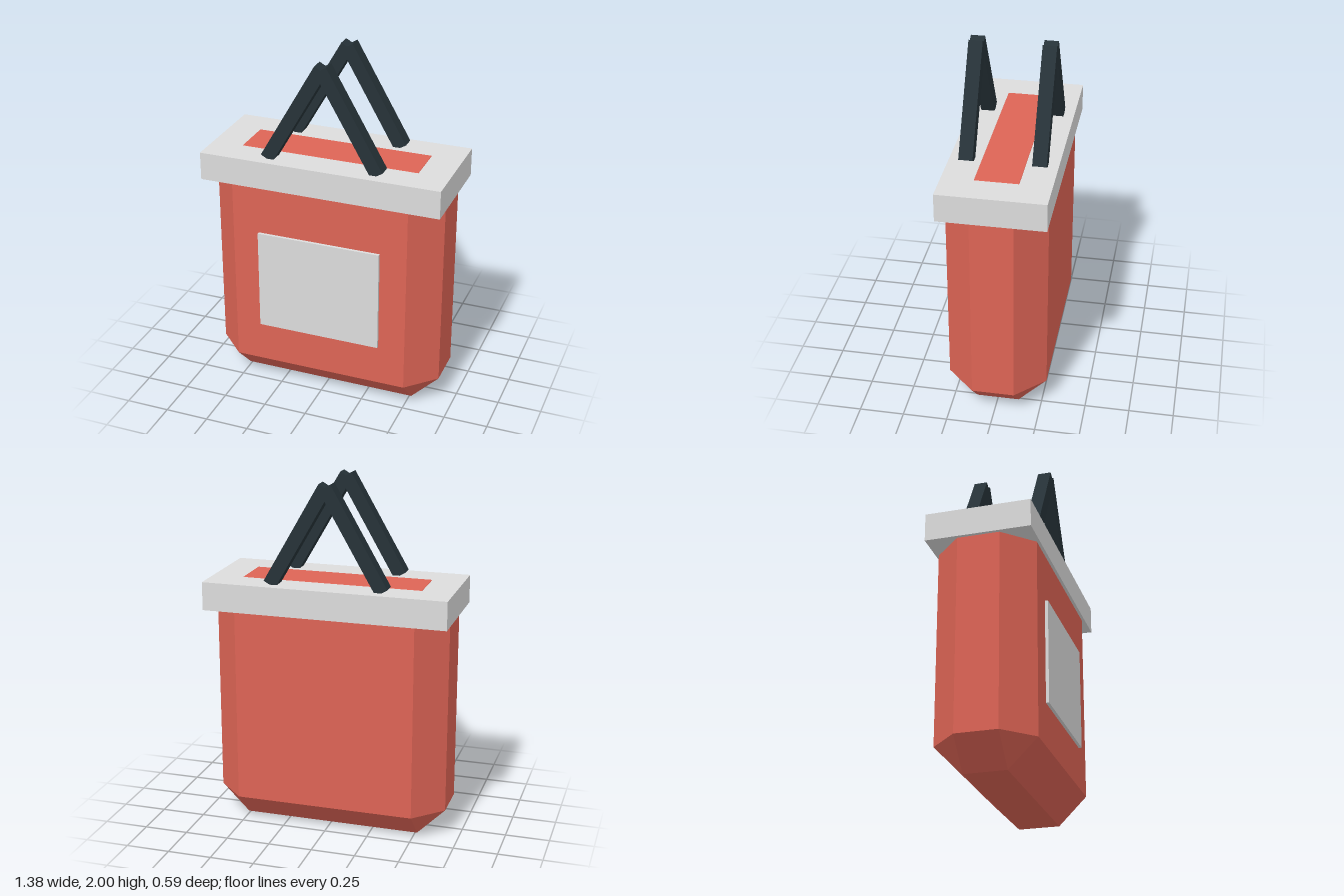
import * as THREE from 'three';
import { ConvexGeometry } from 'three/addons/geometries/ConvexGeometry.js';

const flat = (name, color) => {
  const m = new THREE.MeshStandardMaterial({ color });
  m.name = name;
  m.flatShading = true;
  return m;
};

// Box with every edge and corner cut off by the bevel
function bevelledBox(w, h, d, bevel) {
  const pts = [];
  const x = w / 2, y = h / 2, z = d / 2;
  for (const sx of [-1, 1]) for (const sy of [-1, 1]) for (const sz of [-1, 1]) {
    pts.push(
      new THREE.Vector3(sx * x, sy * (y - bevel), sz * (z - bevel)),
      new THREE.Vector3(sx * (x - bevel), sy * y, sz * (z - bevel)),
      new THREE.Vector3(sx * (x - bevel), sy * (y - bevel), sz * z)
    );
  }
  return new ConvexGeometry(pts);
}

export function createModel() {
  const model = new THREE.Group();
  model.name = 'toteBag';
  const red = flat('red cloth', 0xdd6455);
  const grey = flat('light grey trim', 0xdcdcdc);
  const dark = flat('dark strap', 0x263238);

  const add = (name, geometry, material, x, y, z, parent = model) => {
    const mesh = new THREE.Mesh(geometry, material);
    mesh.name = name;
    mesh.position.set(x, y, z);
    parent.add(mesh);
    return mesh;
  };

  // Body, its top panel just showing through the rim
  add('body', bevelledBox(1.342, 1.432, 0.556, 0.16), red, 0, 0.716, 0);

  // Rim and front pocket
  add('rim', new THREE.BoxGeometry(1.382, 0.16, 0.59), grey, 0, 1.35, 0);
  add('frontPocket', new THREE.BoxGeometry(0.715, 0.59, 0.03), grey, 0, 0.695, 0.28);

  // Two handles, each a pair of straps leaning together
  const strap = new THREE.BoxGeometry(0.075, 0.635, 0.077);
  for (const [name, z] of [['frontHandle', 0.198], ['backHandle', -0.198]]) {
    const handle = new THREE.Group();
    handle.name = name;
    for (const side of [-1, 1]) {
      const bar = add(side > 0 ? 'leftStrap' : 'rightStrap', strap, dark, side * 0.159, 1.706, z, handle);
      bar.rotation.z = side * Math.PI / 6;
    }
    model.add(handle);
  }
  return model;
}
